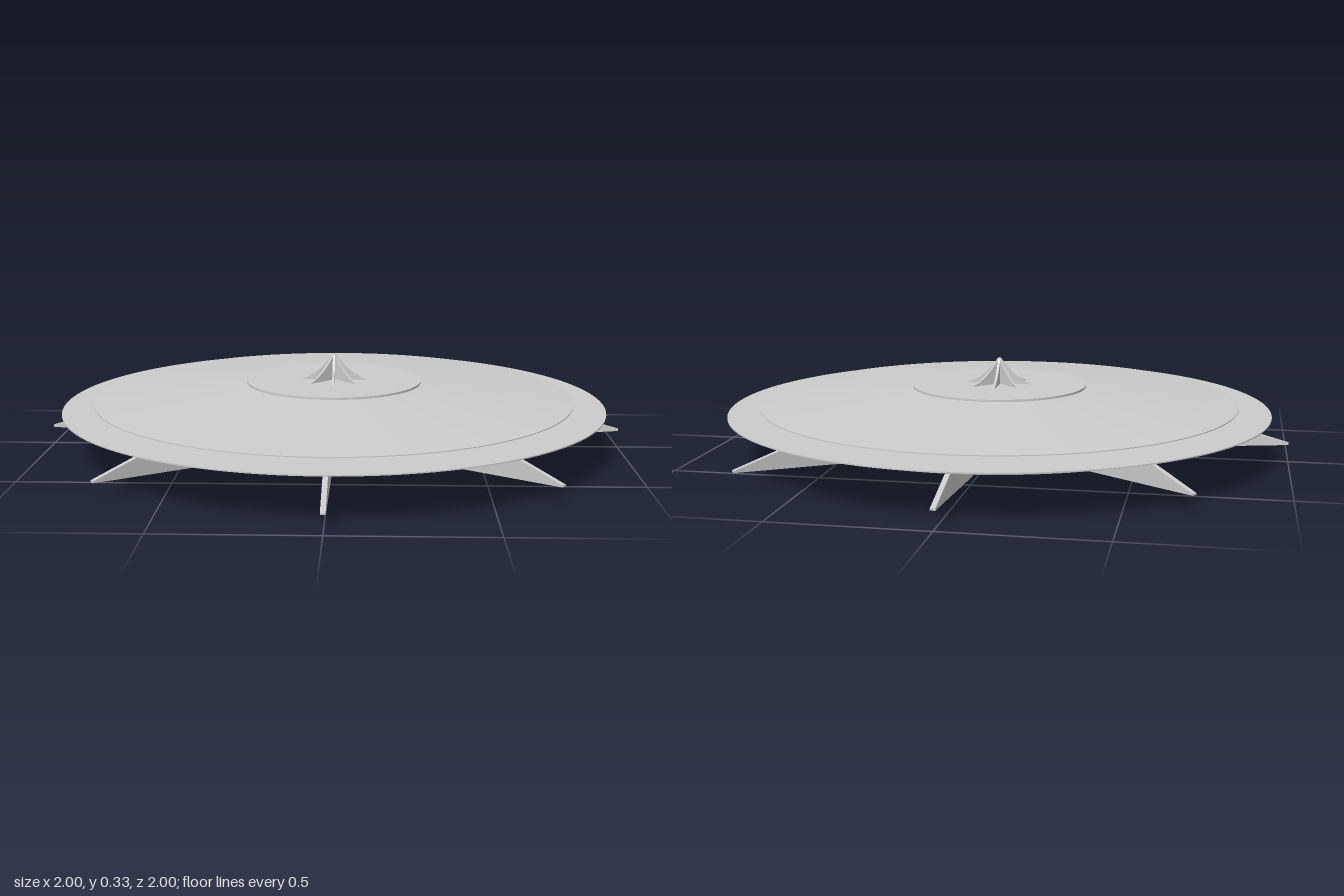
import * as THREE from 'three';
import { toCreasedNormals } from 'three/addons/utils/BufferGeometryUtils.js';

const material = new THREE.MeshStandardMaterial({ color: 0xcccccc, side: THREE.DoubleSide });

// Round part from [radius, height] points listed bottom to top
function lathe(name, points) {
  const profile = points.map(([r, y]) => new THREE.Vector2(r, y));
  const geometry = toCreasedNormals(new THREE.LatheGeometry(profile, 128), 0.05);
  const mesh = new THREE.Mesh(geometry, material);
  mesh.name = name;
  return mesh;
}

// Eight thin upright blades around the axis, cut from a radius/height shape
function blades(name, shape, thickness) {
  const group = new THREE.Group();
  group.name = name + 's';
  const geometry = new THREE.ExtrudeGeometry(shape, { depth: thickness, bevelEnabled: false, curveSegments: 10 });
  geometry.translate(0, 0, -thickness / 2);
  for (let i = 0; i < 8; i++) {
    const blade = new THREE.Mesh(geometry, material);
    blade.name = name;
    blade.rotation.y = (i * Math.PI) / 4;
    group.add(blade);
  }
  return group;
}

export function createModel() {
  const model = new THREE.Group();
  model.name = 'saucer';

  // Shallow conical underside with a slanted rim wall
  model.add(lathe('lowerHull', [[0, 0], [0.06, 0.004], [0.815, 0.118], [0.83, 0.153]]));

  // Wide thin disc around the middle
  model.add(lathe('rimDisc', [[0, 0.153], [0.94, 0.153], [0.94, 0.157], [0, 0.157]]));

  // Recessed wall between the disc and the roof
  model.add(lathe('recessedWall', [[0.74, 0.157], [0.74, 0.187]]));

  // Sloping roof with an overhanging edge
  model.add(lathe('roof', [[0.74, 0.178], [0.83, 0.177], [0.83, 0.18], [0.3, 0.231], [0, 0.231]]));

  // Raised round cap
  model.add(lathe('cap', [[0.304, 0.229], [0.304, 0.238], [0, 0.238]]));

  // Long fins under the hull, pointing past the rim
  const fin = new THREE.Shape();
  fin.moveTo(0.08, 0.004);
  fin.lineTo(1, 0.06);
  fin.lineTo(1, 0.066);
  fin.lineTo(0.81, 0.119);
  fin.closePath();
  model.add(blades('fin', fin, 0.016));

  // Concave blades meeting in a pointed spire
  const spire = new THREE.Shape();
  spire.moveTo(0, 0.236);
  spire.lineTo(0.125, 0.236);
  spire.quadraticCurveTo(0.06, 0.25, 0.005, 0.328);
  spire.lineTo(0, 0.33);
  spire.closePath();
  model.add(blades('spireBlade', spire, 0.008));

  return model;
}
